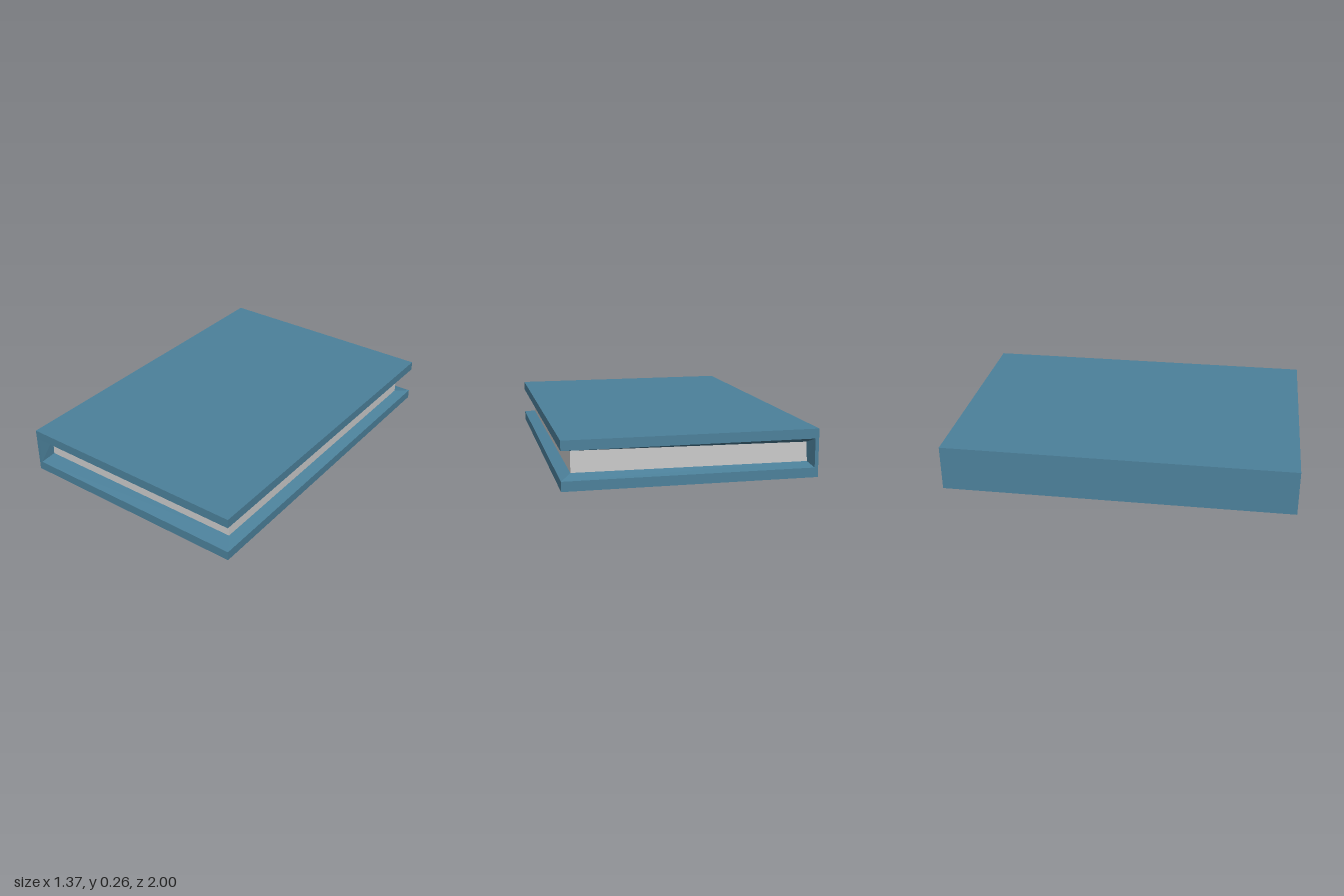
import * as THREE from 'three';

// Flat-shaded mesh from four-cornered faces; each face may be mirrored front to back
function quadMesh(name, material, sides, mirrored) {
  const pos = [];
  const add = ([a, b, c, d]) => [a, b, c, a, c, d].forEach((p) => pos.push(...p));
  sides.forEach(add);
  mirrored.forEach((q) => {
    add(q);
    add(q.map(([x, y, z]) => [x, y, -z]).reverse());
  });
  const geo = new THREE.BufferGeometry();
  geo.setAttribute('position', new THREE.Float32BufferAttribute(pos, 3));
  geo.computeVertexNormals();
  const mesh = new THREE.Mesh(geo, material);
  mesh.name = name;
  return mesh;
}

export function createModel() {
  const book = new THREE.Group();
  book.name = 'book';
  const coverBlue = new THREE.MeshStandardMaterial({ color: 0x4c819b });
  coverBlue.name = 'coverBlue';
  const pageGrey = new THREE.MeshStandardMaterial({ color: 0xcccccc });
  pageGrey.name = 'pageGrey';

  const W = 0.685, H = 0.263, D = 1; // outer half width, height, half depth
  const xs = -0.665, lo = 0.053, hi = 0.21; // inner edge of the rim
  const pz = 0.91; // half depth of the page block

  // Rim corners on the front edge
  const sl = [xs, lo, D], sh = [xs, hi, D];
  const fl = [W, lo, D], fh = [W, hi, D];
  // Page block corners at the front: spine side and open side
  const psl = [-0.657, 0.068, pz], psh = [-0.652, 0.175, pz];
  const pfl = [0.625, 0.073, pz], pfh = [0.625, 0.19, pz];
  const back = ([x, y, z]) => [x, y, -z];

  // Cover: outside faces, rim and the bevels running in to the pages
  book.add(quadMesh('cover', coverBlue, [
    [[-W, H, D], [W, H, D], [W, H, -D], [-W, H, -D]], // top
    [[-W, 0, -D], [W, 0, -D], [W, 0, D], [-W, 0, D]], // bottom
    [[-W, 0, -D], [-W, 0, D], [-W, H, D], [-W, H, -D]], // spine
    [[W, 0, D], [W, 0, -D], back(fl), fl], // lower open edge
    [fh, back(fh), [W, H, -D], [W, H, D]], // upper open edge
    [fl, back(fl), back(pfl), pfl], // lower bevel
    [fh, pfh, back(pfh), back(fh)], // upper bevel
  ], [
    [[-W, 0, D], [W, 0, D], fl, [-W, lo, D]], // lower rim
    [[-W, hi, D], fh, [W, H, D], [-W, H, D]], // upper rim
    [[-W, lo, D], sl, sh, [-W, hi, D]], // spine rim
    [sl, fl, pfl, psl], // lower bevel
    [sh, psh, pfh, fh], // upper bevel
    [sl, psl, psh, sh], // spine bevel
  ]));

  // Page block: the three visible edges
  book.add(quadMesh('pages', pageGrey,
    [[pfl, back(pfl), back(pfh), pfh]],
    [[psl, pfl, pfh, psh]]));

  return book;
}
